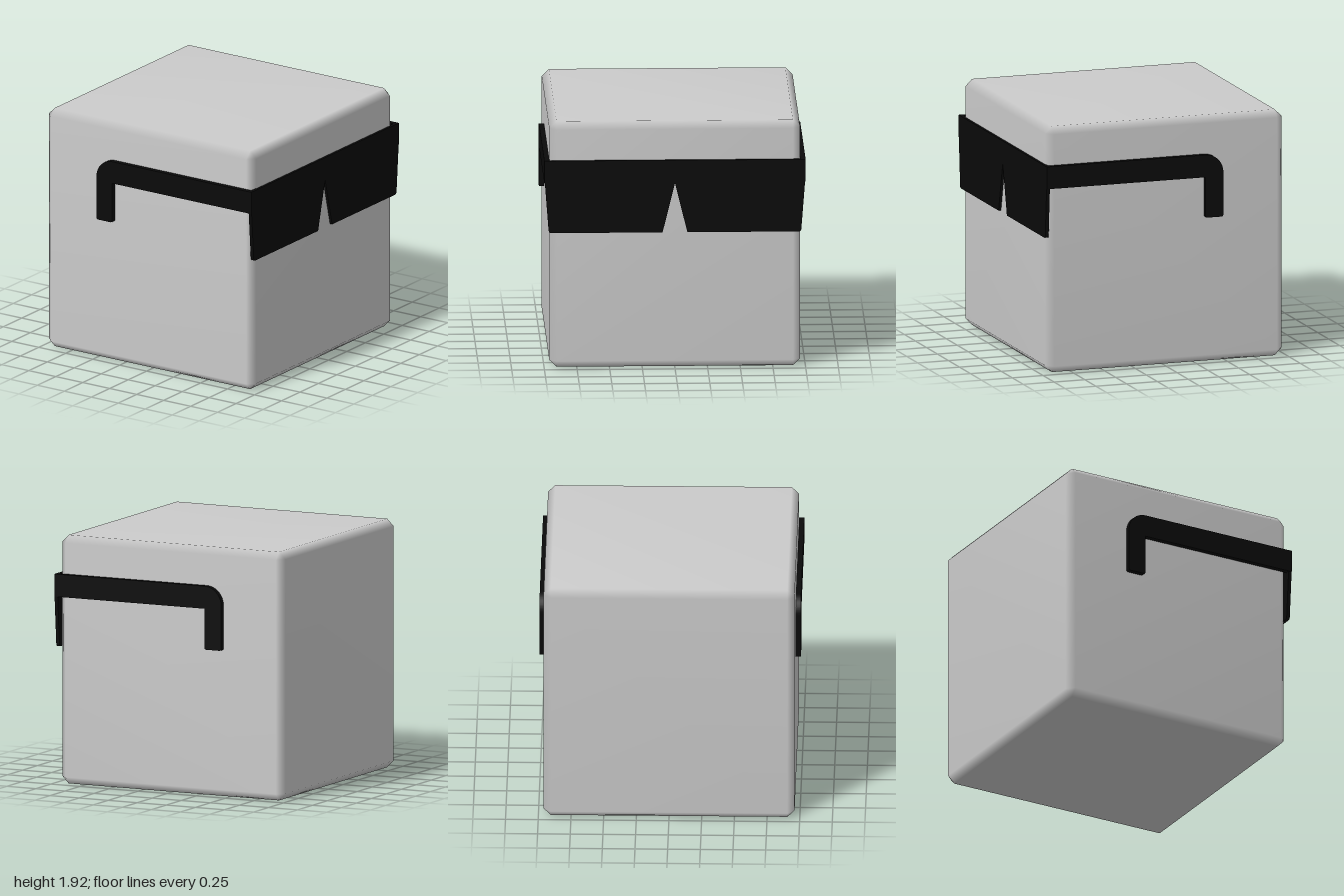
import * as THREE from 'three';
import { mergeVertices } from 'three/addons/utils/BufferGeometryUtils.js';
import { ConvexGeometry } from 'three/addons/geometries/ConvexGeometry.js';

// Box with single-segment chamfers and softly shared normals
function chamferedBox(w, h, d, c) {
  const points = [];
  for (const sx of [-1, 1]) for (const sy of [-1, 1]) for (const sz of [-1, 1]) {
    for (let axis = 0; axis < 3; axis++) {
      const inset = [c, c, c];
      inset[axis] = 0;
      points.push(new THREE.Vector3(
        sx * (w / 2 - inset[0]), sy * (h / 2 - inset[1]), sz * (d / 2 - inset[2])));
    }
  }
  const hull = new ConvexGeometry(points);
  hull.deleteAttribute('normal');
  const geometry = mergeVertices(hull, 1e-4);
  geometry.computeVertexNormals();
  return geometry;
}

// Front piece: two lenses joined by a bridge, with a pointed nose notch
function lensGeometry() {
  const s = new THREE.Shape();
  s.moveTo(-1, 1.63);
  s.lineTo(-0.995, 1.45);
  s.lineTo(-0.967, 1.085);
  s.quadraticCurveTo(-0.965, 1.065, -0.945, 1.065);
  s.lineTo(-0.095, 1.065);
  s.lineTo(0, 1.45);
  s.lineTo(0.095, 1.065);
  s.lineTo(0.945, 1.065);
  s.quadraticCurveTo(0.965, 1.065, 0.967, 1.085);
  s.lineTo(0.995, 1.45);
  s.lineTo(1, 1.63);
  s.closePath();
  const g = new THREE.ExtrudeGeometry(s, { depth: 0.027, bevelEnabled: false });
  return g.rotateY(-Math.PI / 2).translate(0.97, 0, 0);
}

// Side arm: straight bar, rounded bend and a short hook
function armGeometry() {
  const s = new THREE.Shape();
  s.moveTo(0.97, 1.63);
  s.lineTo(-0.32, 1.63);
  s.absarc(-0.32, 1.485, 0.145, Math.PI / 2, Math.PI, false);
  s.lineTo(-0.465, 1.155);
  s.quadraticCurveTo(-0.465, 1.138, -0.448, 1.138);
  s.lineTo(-0.337, 1.138);
  s.quadraticCurveTo(-0.32, 1.138, -0.32, 1.155);
  s.lineTo(-0.32, 1.455);
  s.lineTo(0.97, 1.455);
  s.closePath();
  return new THREE.ExtrudeGeometry(s, { depth: 0.04, bevelEnabled: false, curveSegments: 12 });
}

export function createModel() {
  const model = new THREE.Group();
  const grey = new THREE.MeshStandardMaterial({ color: 0xcccccc });
  const black = new THREE.MeshStandardMaterial({ color: 0x0a0a0a });

  const add = (name, geometry, material, parent) => {
    const mesh = new THREE.Mesh(geometry, material);
    mesh.name = name;
    parent.add(mesh);
    return mesh;
  };

  const head = add('head', chamferedBox(1.92, 1.925, 1.92, 0.055), grey, model);
  head.position.set(-0.01, 0.9625, 0);

  const glasses = new THREE.Group();
  glasses.name = 'sunglasses';
  model.add(glasses);
  add('lenses', lensGeometry(), black, glasses);
  add('armFront', armGeometry(), black, glasses).position.z = 0.96;
  add('armBack', armGeometry(), black, glasses).position.z = -1;

  return model;
}
